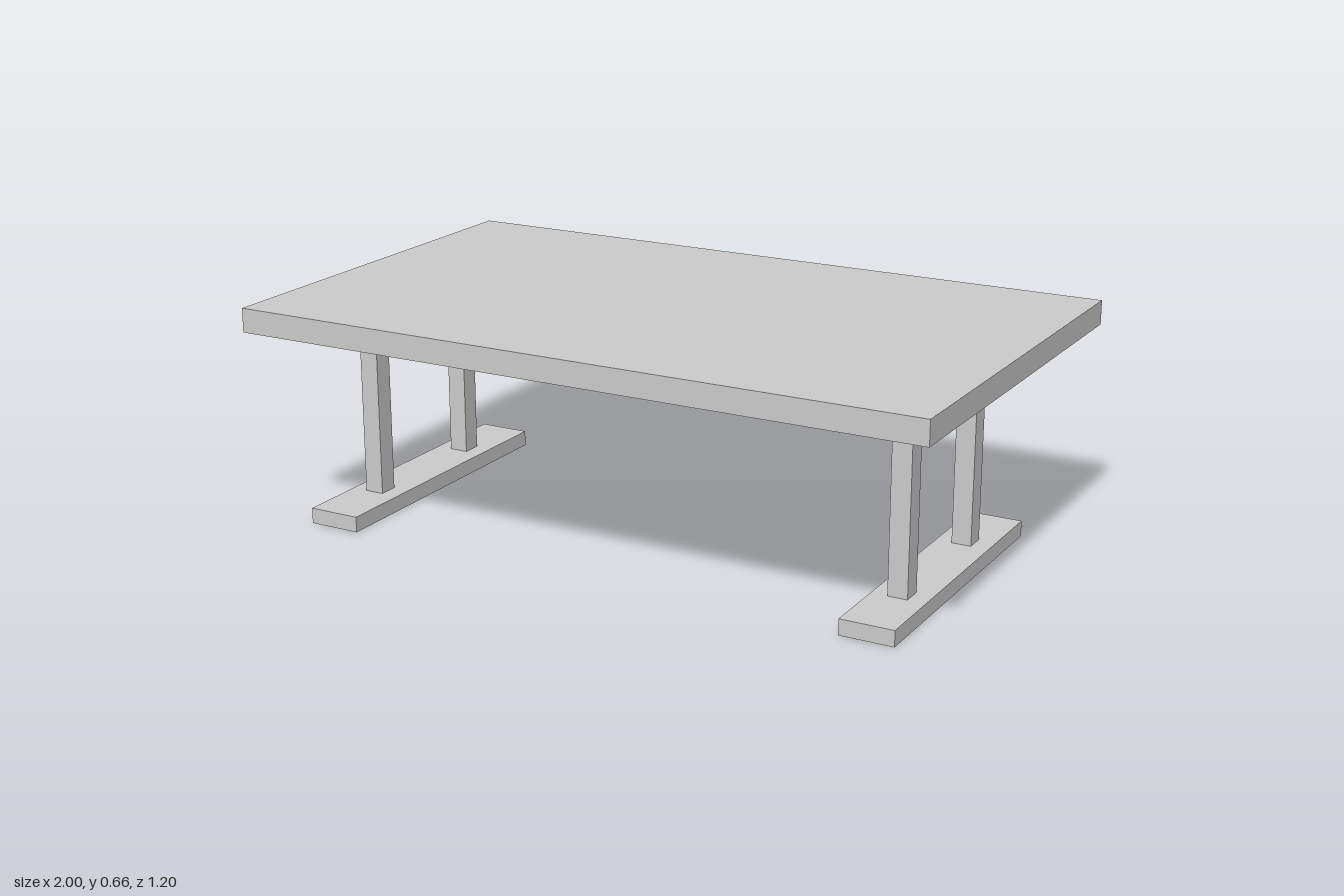
import * as THREE from 'three';

const material = new THREE.MeshStandardMaterial({ color: 0xcccccc, flatShading: true });

// Box given by its size, its centre in x and z, and its underside height
function addBox(parent, name, [w, h, d], x, bottom, z) {
  const mesh = new THREE.Mesh(new THREE.BoxGeometry(w, h, d), material);
  mesh.name = name;
  mesh.position.set(x, bottom + h / 2, z);
  parent.add(mesh);
}

// One trestle: floor foot, two square posts and a mounting plate
function createTrestle(name) {
  const trestle = new THREE.Group();
  trestle.name = name;
  addBox(trestle, 'foot', [0.153, 0.045, 0.874], 0.002, 0, 0.002);
  addBox(trestle, 'frontPost', [0.056, 0.52, 0.058], 0, 0.045, 0.216);
  addBox(trestle, 'backPost', [0.056, 0.52, 0.058], 0, 0.045, -0.213);
  addBox(trestle, 'mountingPlate', [0.147, 0.025, 0.848], 0, 0.565, 0.002);
  return trestle;
}

export function createModel() {
  const table = new THREE.Group();
  table.name = 'table';

  // Table top
  addBox(table, 'tableTop', [2, 0.068, 1.202], 0, 0.59, 0);

  // Trestles, the right one slightly nearer its end
  for (const [name, x] of [['rightTrestle', -0.853], ['leftTrestle', 0.783]]) {
    const trestle = createTrestle(name);
    trestle.position.x = x;
    table.add(trestle);
  }
  return table;
}
